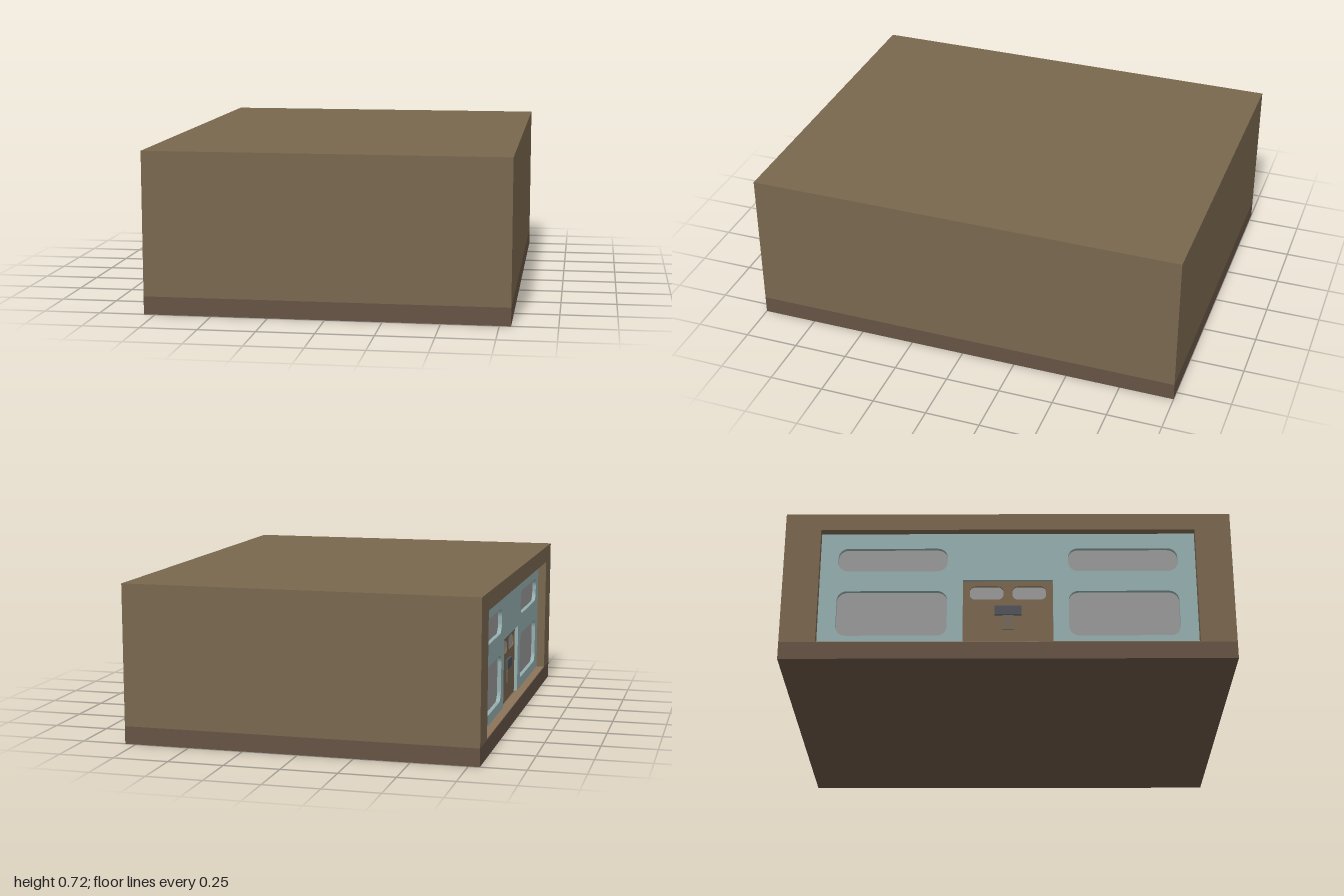
import * as THREE from 'three';

const mat = (color) => new THREE.MeshStandardMaterial({ color });

// Rounded rectangle in the (z, y) plane
function roundRect(target, z0, y0, z1, y1, r) {
  target.moveTo(z0 + r, y0);
  target.lineTo(z1 - r, y0);
  target.absarc(z1 - r, y0 + r, r, -Math.PI / 2, 0);
  target.lineTo(z1, y1 - r);
  target.absarc(z1 - r, y1 - r, r, 0, Math.PI / 2);
  target.lineTo(z0 + r, y1);
  target.absarc(z0 + r, y1 - r, r, Math.PI / 2, Math.PI);
  target.lineTo(z0, y0 + r);
  target.absarc(z0 + r, y0 + r, r, Math.PI, Math.PI * 1.5);
  return target;
}

const polygon = (pts) => new THREE.Shape(pts.map(([z, y]) => new THREE.Vector2(z, y)));

export function createModel() {
  const group = new THREE.Group();
  const wall = mat(0x79674e), plinth = mat(0x665345), panelBlue = mat(0x95aeae);
  const glass = mat(0x989898), sillTan = mat(0x8a7358), dark = mat(0x50535a), stem = mat(0x74675a);

  function add(name, geometry, material) {
    const mesh = new THREE.Mesh(geometry, material);
    mesh.name = name;
    group.add(mesh);
    return mesh;
  }
  function box(name, material, x0, x1, y0, y1, z0, z1) {
    const g = new THREE.BoxGeometry(x1 - x0, y1 - y0, z1 - z0);
    g.translate((x0 + x1) / 2, (y0 + y1) / 2, (z0 + z1) / 2);
    return add(name, g, material);
  }
  // Extrude a (z, y) shape through x, from the outer face x0 to x1
  function slab(name, material, shape, x0, x1) {
    const g = new THREE.ExtrudeGeometry(shape, { depth: x1 - x0, bevelEnabled: false, curveSegments: 6 });
    g.rotateY(-Math.PI / 2);
    g.translate(x1, 0, 0);
    return add(name, g, material);
  }

  // Plinth and main block
  box('plinth', plinth, -0.8, 0.8, 0, 0.08, -1, 1);
  box('body', wall, -0.72, 0.8, 0.08, 0.72, -1, 1);

  // Surround of the wide opening in the side wall
  slab('openingSurround', wall, polygon([
    [-1, 0.08], [-0.84, 0.08], [-0.84, 0.64], [0.84, 0.64],
    [0.84, 0.08], [1, 0.08], [1, 0.72], [-1, 0.72],
  ]), -0.8, -0.72);
  box('sill', sillTan, -0.799, -0.75, 0.08, 0.083, -0.84, 0.84);

  // Recessed panel with a doorway notch and four windows
  const panel = polygon([
    [-0.84, 0.08], [-0.2, 0.08], [-0.2, 0.405], [0.2, 0.405],
    [0.2, 0.08], [0.84, 0.08], [0.84, 0.64], [-0.84, 0.64],
  ]);
  for (const side of [-1, 1]) {
    const c = side * 0.515, w = 0.245;
    for (const [y0, y1, r] of [[0.13, 0.35, 0.045], [0.45, 0.565, 0.045]]) {
      panel.holes.push(roundRect(new THREE.Path(), c - w, y0, c + w, y1, r));
      box('windowPane', glass, -0.742, -0.72, y0 - 0.01, y1 + 0.01, c - w - 0.01, c + w + 0.01);
    }
  }
  slab('windowPanel', panelBlue, panel, -0.76, -0.735);

  // Door with two small windows
  const door = polygon([[-0.2, 0.08], [0.2, 0.08], [0.2, 0.405], [-0.2, 0.405]]);
  for (const side of [-1, 1]) {
    const c = side * 0.095;
    door.holes.push(roundRect(new THREE.Path(), c - 0.075, 0.315, c + 0.075, 0.38, 0.025));
    box('doorPane', glass, -0.737, -0.72, 0.305, 0.39, c - 0.085, c + 0.085);
  }
  slab('door', wall, door, -0.744, -0.73);

  // Latch in the middle of the door
  box('latch', dark, -0.756, -0.74, 0.235, 0.28, -0.06, 0.06);
  box('latchStem', stem, -0.75, -0.74, 0.165, 0.235, -0.025, 0.025);

  return group;
}
